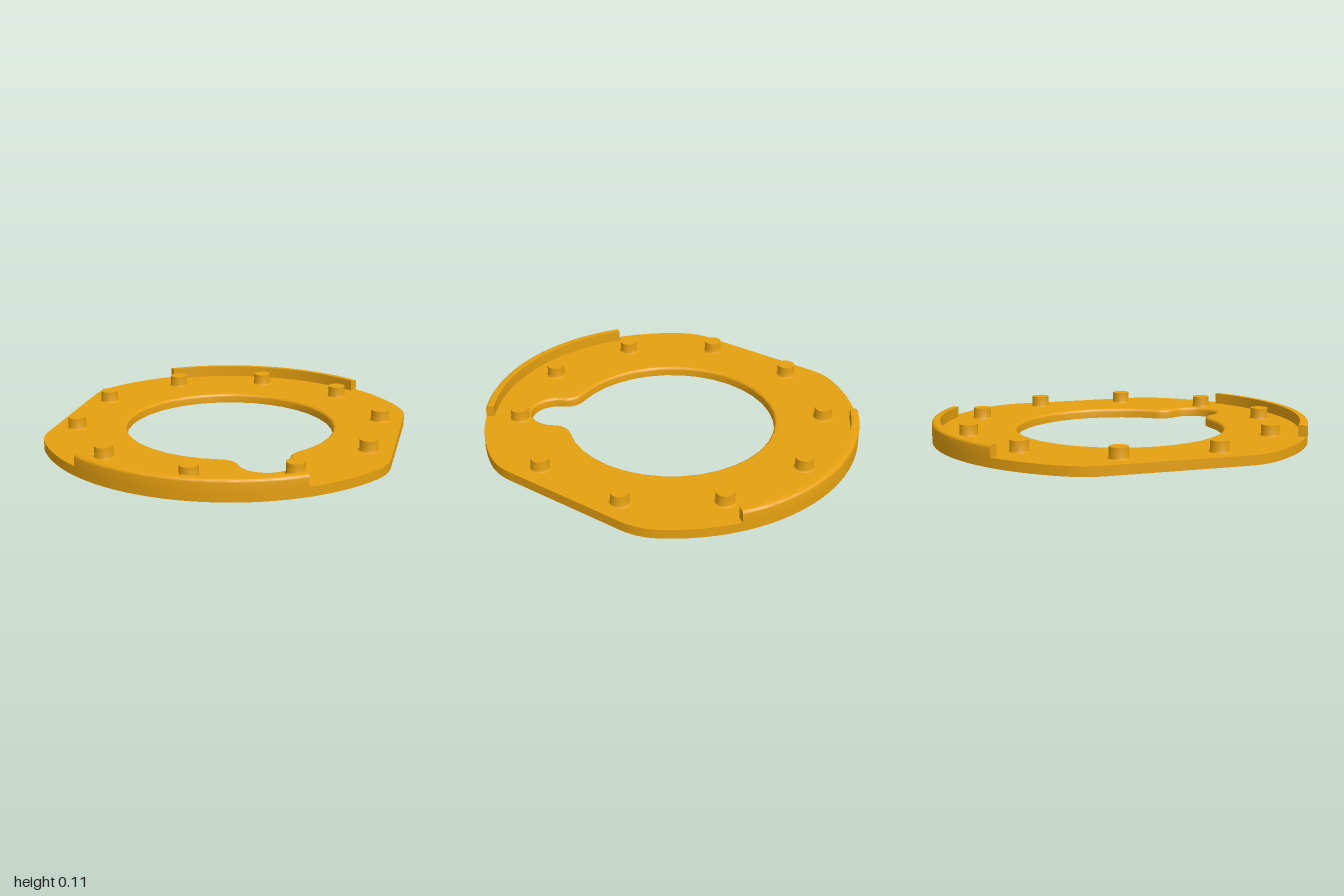
import * as THREE from 'three';
import { toCreasedNormals } from 'three/addons/utils/BufferGeometryUtils.js';

const PLATE = 0.05, TOP = 0.11, EDGE = 0.015;
const rad = THREE.MathUtils.degToRad;

// Points [x, z] along an arc, without its last point.
function arc(cx, cz, r, a0, a1, n) {
  return Array.from({ length: n }, (_, i) => {
    const a = a0 + (a1 - a0) * i / n;
    return [cx + r * Math.cos(a), cz + r * Math.sin(a)];
  });
}

// Disc of radius 1 with flat sides at x = +-0.9 and rounded corners.
function outerLoop() {
  const rc = 0.3375, cx = 0.9 - rc, cz = 0.35, t = Math.atan2(cz, cx);
  return [
    ...arc(cx, cz, rc, 0, t, 6),
    ...arc(0, 0, 1, t, Math.PI - t, 36),
    ...arc(-cx, cz, rc, Math.PI - t, Math.PI, 6),
    ...arc(-cx, -cz, rc, Math.PI, Math.PI + t, 6),
    ...arc(0, 0, 1, Math.PI + t, 2 * Math.PI - t, 36),
    ...arc(cx, -cz, rc, -t, 0, 6), [0.9, -cz],
  ];
}

// Round opening with a filleted notch, widened by d.
function holeLoop(d) {
  const R = 0.555, rn = 0.135, rf = 0.1, dist = 0.63, axis = rad(60);
  const nx = dist * Math.cos(axis), nz = dist * Math.sin(axis);
  const f = R + rf, g = rn + rf;
  const delta = Math.acos((f * f + dist * dist - g * g) / (2 * f * dist));
  const a1 = axis - delta, a2 = axis + delta;
  const x1 = f * Math.cos(a1), z1 = f * Math.sin(a1);
  const x2 = f * Math.cos(a2), z2 = f * Math.sin(a2);
  const toNotch = Math.atan2(nz - z1, nx - x1);
  const n0 = toNotch - Math.PI, n1 = 2 * axis - n0;
  return [
    ...arc(0, 0, R + d, a2, a1 + 2 * Math.PI, 32),
    ...arc(x1, z1, rf - d, a1 + Math.PI, toNotch, 10),
    ...arc(nx, nz, rn + d, n0, n1, 20),
    ...arc(x2, z2, rf - d, n1 + Math.PI, a2 + Math.PI, 10),
  ];
}

// Skin between successive closed rings of [x, y, z], with optional end caps.
function loft(rings, caps = false) {
  const pos = [], n = rings[0].length;
  const tri = (a, b, c) => pos.push(...a, ...b, ...c);
  for (let i = 0; i < rings.length - 1; i++) {
    for (let j = 0; j < n; j++) {
      const k = (j + 1) % n, p = rings[i], q = rings[i + 1];
      tri(p[j], p[k], q[k]);
      tri(p[j], q[k], q[j]);
    }
  }
  if (caps) {
    const s = rings[0], e = rings[rings.length - 1];
    for (let j = 1; j < n - 1; j++) {
      tri(s[0], s[j + 1], s[j]);
      tri(e[0], e[j], e[j + 1]);
    }
  }
  const geo = new THREE.BufferGeometry();
  geo.setAttribute('position', new THREE.Float32BufferAttribute(pos, 3));
  return toCreasedNormals(geo, 0.6);
}

// Flat face with the opening, looking up (s = -1) or down (s = 1).
function face(hole, s, y) {
  const vec = (loop) => loop.map(([x, z]) => new THREE.Vector2(x, s * z));
  const shape = new THREE.Shape(vec(outerLoop()));
  shape.holes.push(new THREE.Path(vec(hole)));
  return new THREE.ShapeGeometry(shape).rotateX(s * Math.PI / 2).translate(0, y, 0);
}

export function createModel() {
  const model = new THREE.Group();
  const material = new THREE.MeshStandardMaterial({ color: 0xe6a010 });
  const add = (name, geo, parent = model) => {
    const mesh = new THREE.Mesh(geo, material);
    mesh.name = name;
    parent.add(mesh);
    return mesh;
  };
  const ring = (loop, y) => loop.map(([x, z]) => [x, y, z]);

  // Base plate; the opening's upper edge is rounded over
  const plate = new THREE.Group();
  plate.name = 'basePlate';
  model.add(plate);
  add('plateTop', face(holeLoop(EDGE), -1, PLATE), plate);
  add('plateBottom', face(holeLoop(0), 1, 0), plate);
  add('plateRim', loft([ring(outerLoop(), PLATE), ring(outerLoop(), 0)]), plate);
  const openingRings = [ring(holeLoop(0), 0)];
  for (let i = 0; i <= 4; i++) {
    const a = i / 4 * Math.PI / 2;
    openingRings.push(ring(holeLoop(EDGE * (1 - Math.cos(a))), PLATE - EDGE + EDGE * Math.sin(a)));
  }
  add('openingWall', loft(openingRings), plate);

  // Raised curved lips at front and back, rounded on the outer top edge
  const section = [[0.957, PLATE - 0.005], [1, PLATE - 0.005]];
  for (let i = 0; i <= 4; i++) {
    const a = i / 4 * Math.PI / 2;
    section.push([1 - EDGE + EDGE * Math.cos(a), TOP - EDGE + EDGE * Math.sin(a)]);
  }
  section.push([0.957, TOP]);
  const lipRings = [];
  for (let i = 0; i <= 32; i++) {
    const a = rad(55 + 70 * i / 32);
    lipRings.push(section.map(([r, y]) => [r * Math.cos(a), y, r * Math.sin(a)]));
  }
  const lip = loft(lipRings, true);
  add('frontLip', lip);
  add('backLip', lip).rotation.y = Math.PI;

  // Ten pegs with a small flare at the foot
  const profile = [[0.057, PLATE], [0.05, 0.053], [0.047, 0.062], [0.047, TOP], [0, TOP]]
    .map(([r, y]) => new THREE.Vector2(r, y));
  const pegGeo = toCreasedNormals(new THREE.LatheGeometry(profile, 24), 0.7);
  const spots = [[0, 0.82]];
  for (const sx of [-1, 1]) spots.push([sx * 0.48, 0.66], [sx * 0.777, 0.253]);
  for (const sz of [-1, 1]) {
    for (const [x, z] of spots) add('peg', pegGeo).position.set(x, 0, sz * z);
  }
  return model;
}
